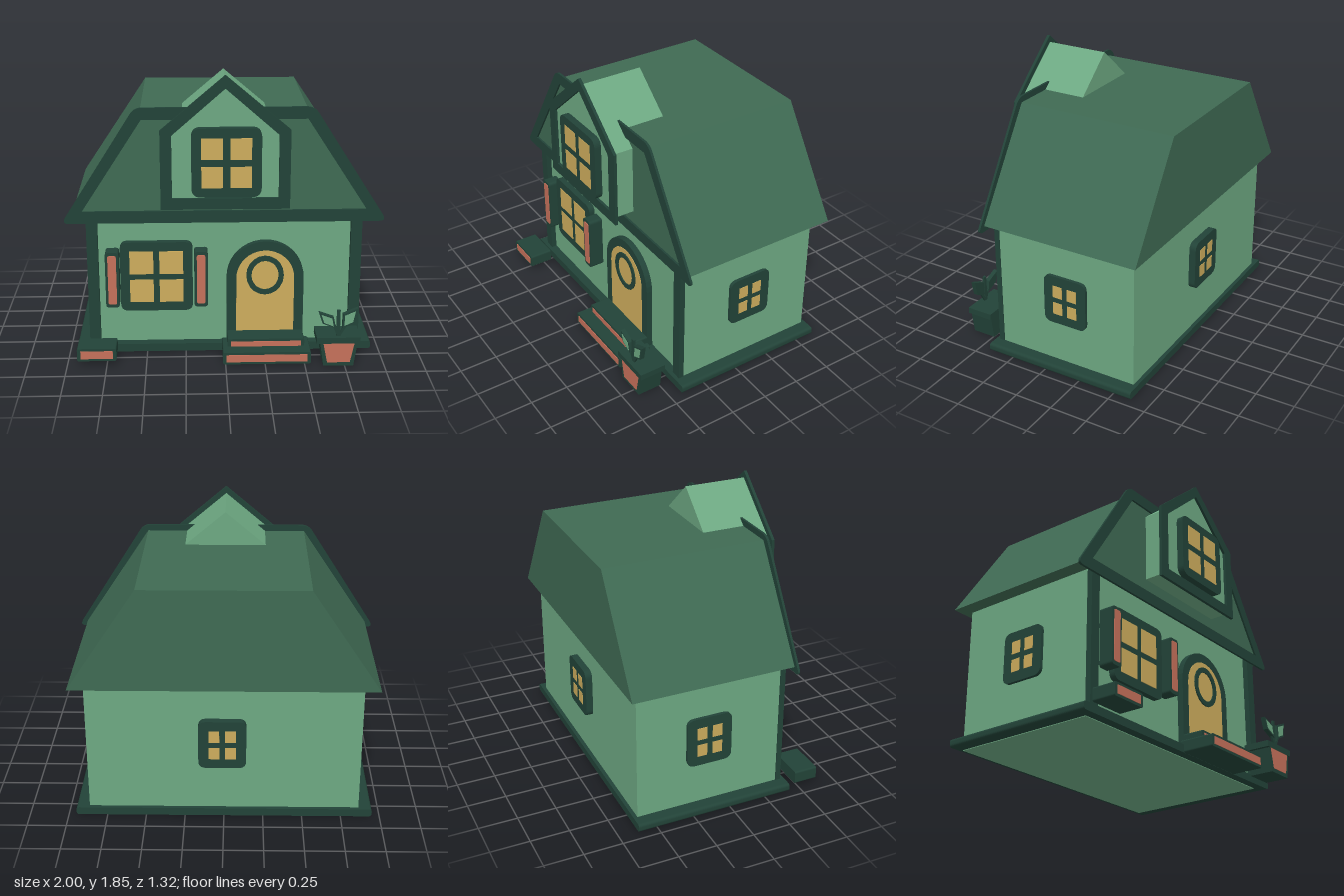
import * as THREE from 'three';

const mat = (name, color) => {
  const m = new THREE.MeshStandardMaterial({ color });
  m.name = name;
  return m;
};

export function createModel() {
  const house = new THREE.Group();
  house.name = 'cottage';
  const wall = mat('wall green', 0x6da882);
  const roof = mat('roof green', 0x3f6a53);
  const trim = mat('dark trim', 0x224338);
  const glow = mat('warm yellow', 0xcdac5c);
  const clay = mat('terracotta', 0xc5705a);

  const add = (name, geo, material, parent = house) => {
    const mesh = new THREE.Mesh(geo, material);
    mesh.name = name;
    parent.add(mesh);
    return mesh;
  };

  // Box from minimum and maximum corners
  const box = (name, m, x0, x1, y0, y1, z0, z1, parent) => {
    const geo = new THREE.BoxGeometry(x1 - x0, y1 - y0, z1 - z0);
    geo.translate((x0 + x1) / 2, (y0 + y1) / 2, (z0 + z1) / 2);
    return add(name, geo, m, parent);
  };

  // Polygon outline with optionally rounded corners
  const outline = (pts, r = 0, Type = THREE.Shape) => {
    const s = new Type();
    const v = pts.map(p => new THREE.Vector2(...p));
    v.forEach((p, i) => {
      const prev = v[(i + v.length - 1) % v.length], next = v[(i + 1) % v.length];
      const a = p.clone().add(prev.clone().sub(p).setLength(r));
      const b = p.clone().add(next.clone().sub(p).setLength(r));
      if (i === 0) s.moveTo(a.x, a.y); else s.lineTo(a.x, a.y);
      if (r > 0) s.quadraticCurveTo(p.x, p.y, b.x, b.y);
    });
    s.closePath();
    return s;
  };
  const rect = (x0, x1, y0, y1, r) => outline([[x0, y0], [x1, y0], [x1, y1], [x0, y1]], r);

  // Flat shape extruded between two depths
  const plate = (name, m, shape, z0, z1, parent) => {
    const geo = new THREE.ExtrudeGeometry(shape, { depth: z1 - z0, bevelEnabled: false, curveSegments: 10 });
    geo.translate(0, 0, z0);
    return add(name, geo, m, parent);
  };

  // Rounded window: centre at the origin, back on z = 0, four panes
  const windowUnit = (name, w, h, depth, border, bar, r) => {
    const g = new THREE.Group();
    g.name = name;
    plate('windowFrame', trim, rect(-w / 2, w / 2, -h / 2, h / 2, r), 0, depth, g);
    const pw = w / 2 - border, ph = h / 2 - border;
    for (const sx of [-1, 1]) for (const sy of [-1, 1]) {
      const xs = [sx * bar, sx * pw].sort((a, b) => a - b);
      const ys = [sy * bar, sy * ph].sort((a, b) => a - b);
      box('windowPane', glow, ...xs, ...ys, depth - 0.004, depth + 0.003, g);
    }
    house.add(g);
    return g;
  };

  // Walls, base and corner posts
  box('walls', wall, -0.865, 0.865, 0, 0.93, -0.6, 0.36);
  plate('base', trim, rect(-0.95, 0.95, 0.004, 0.056, 0.02), -0.625, 0.42);
  for (const s of [-1, 1]) {
    const [a, b] = [s * 0.8, s * 0.87].sort((p, q) => p - q);
    box('cornerPost', trim, a, b, 0.03, 0.92, 0.36, 0.395);
  }

  // Main roof and its front border
  plate('roof', roof, outline([[-0.96, 0.92], [0.96, 0.92], [0.52, 1.58], [-0.52, 1.58]]), -0.66, 0.402);
  const roofEdge = outline([[-1.02, 0.882], [1.02, 0.882], [0.55, 1.62], [-0.55, 1.62]], 0.05);
  roofEdge.holes.push(outline([[-0.89, 0.96], [-0.51, 1.545], [0.51, 1.545], [0.89, 0.96]], 0, THREE.Path));
  plate('roofBorder', trim, roofEdge, 0.4, 0.415);

  // Dormer and its border
  const pentagon = (w, y0, y1, y2, Type) =>
    outline([[-w, y0], [w, y0], [w, y1], [0, y2], [-w, y1]], 0, Type);
  plate('dormer', wall, pentagon(0.36, 1.045, 1.495, 1.8), 0.12, 0.535);
  const dormerEdge = pentagon(0.395, 1.015, 1.51, 1.845);
  dormerEdge.holes.push(pentagon(0.325, 1.085, 1.48, 1.765, THREE.Path));
  plate('dormerBorder', trim, dormerEdge, 0.533, 0.552);

  // Windows
  windowUnit('dormerWindow', 0.425, 0.43, 0.045, 0.06, 0.022, 0.06).position.set(0.006, 1.315, 0.535);
  windowUnit('frontWindow', 0.46, 0.465, 0.04, 0.06, 0.019, 0.05).position.set(-0.433, 0.515, 0.36);
  for (const s of [-1, 1]) {
    const side = windowUnit('sideWindow', 0.297, 0.328, 0.023, 0.065, 0.018, 0.05);
    side.position.set(s * 0.863, 0.498, -0.125);
    side.rotation.y = s * Math.PI / 2;
  }
  const back = windowUnit('backWindow', 0.3, 0.328, 0.045, 0.065, 0.018, 0.05);
  back.position.set(0.01, 0.535, -0.6);
  back.rotation.y = Math.PI;

  // Shutters
  for (const x of [-0.711, -0.15]) {
    plate('shutter', trim, rect(x - 0.043, x + 0.043, 0.33, 0.7, 0.02), 0.36, 0.455);
    plate('shutterPanel', clay, rect(x - 0.027, x + 0.027, 0.353, 0.68, 0.012), 0.453, 0.46);
  }

  // Arched door with an oval porthole
  const arch = (r, y0) => {
    const s = new THREE.Shape();
    s.moveTo(0.26 - r, y0);
    s.lineTo(0.26 + r, y0);
    s.absarc(0.26, 0.5, r, 0, Math.PI, false);
    s.closePath();
    return s;
  };
  const oval = (rx, ry) => {
    const s = new THREE.Shape();
    s.absellipse(0.258, 0.52, rx, ry, 0, Math.PI * 2, false, 0);
    return s;
  };
  plate('doorFrame', trim, arch(0.246, 0.05), 0.355, 0.4);
  plate('door', glow, arch(0.185, 0.1), 0.396, 0.403);
  const ring = oval(0.12, 0.132);
  ring.holes.push(oval(0.087, 0.098));
  plate('portholeRing', trim, ring, 0.402, 0.411);

  // Steps and side block with clay fronts
  const step = (name, x0, x1, y0, y1, z0, z1) => {
    plate(name, trim, rect(x0, x1, y0, y1, 0.012), z0, z1);
    box(name + 'Face', clay, x0 + 0.022, x1 - 0.022, y0 + 0.016, y1 - 0.016, z1 - 0.003, z1 + 0.004);
  };
  step('lowerStep', -0.016, 0.54, 0.005, 0.085, 0.4, 0.628);
  step('upperStep', 0.015, 0.505, 0.068, 0.135, 0.36, 0.535);
  step('sideBlock', -0.935, -0.688, 0.038, 0.122, 0.467, 0.622);

  // Plant pot
  plate('pot', trim, outline([[0.615, 0], [0.805, 0], [0.83, 0.17], [0.59, 0.17]]), 0.495, 0.655);
  plate('potFace', clay, outline([[0.638, 0.025], [0.782, 0.025], [0.808, 0.155], [0.612, 0.155]]), 0.652, 0.659);
  box('potRim', trim, 0.57, 0.845, 0.155, 0.195, 0.485, 0.661);

  // Plant: stem, branches and two leaves
  box('stem', trim, 0.695, 0.717, 0.19, 0.37, 0.62, 0.634);
  plate('leftBranch', trim, outline([[0.7, 0.195], [0.717, 0.2], [0.688, 0.272], [0.67, 0.265]]), 0.62, 0.634);
  plate('rightBranch', trim, outline([[0.705, 0.195], [0.72, 0.195], [0.755, 0.258], [0.738, 0.265]]), 0.62, 0.634);
  const leaves = [
    [[0.58, 0.36], [0.605, 0.285], [0.69, 0.25], [0.675, 0.325]],
    [[0.73, 0.25], [0.805, 0.285], [0.825, 0.385], [0.733, 0.345]],
  ];
  for (const pts of leaves) {
    const cx = pts.reduce((a, p) => a + p[0], 0) / 4, cy = pts.reduce((a, p) => a + p[1], 0) / 4;
    const inner = pts.map(([x, y]) => [cx + (x - cx) * 0.72, cy + (y - cy) * 0.72]);
    plate('leaf', trim, outline(pts), 0.612, 0.642);
    plate('leafFace', wall, outline(inner), 0.64, 0.645);
  }
  return house;
}
